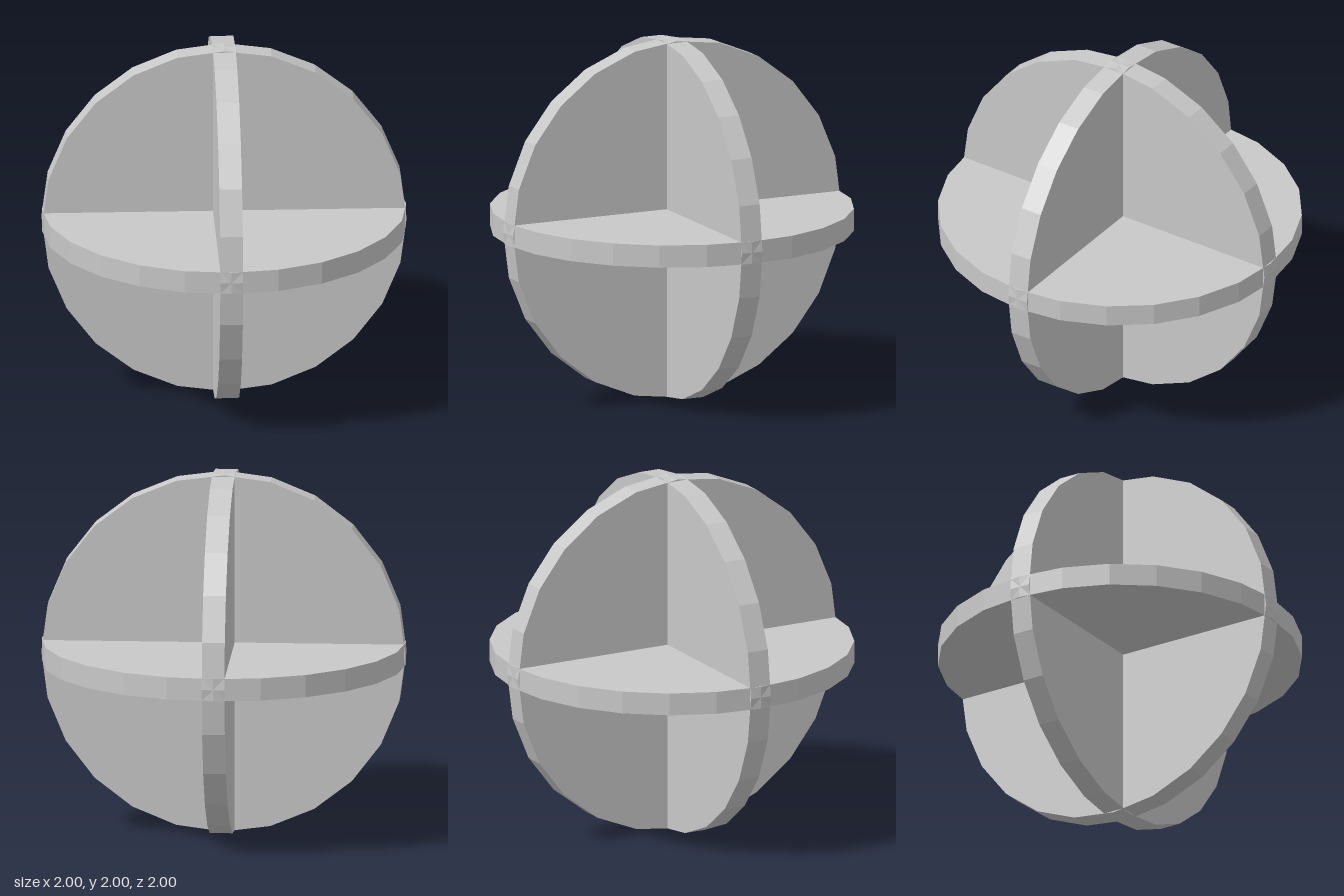
import * as THREE from 'three';

const RADIUS = 1;
const THICKNESS = 0.125;
const SIDES = 24;

export function createModel() {
  const model = new THREE.Group();
  model.name = 'crossedDiscs';

  const grey = new THREE.MeshStandardMaterial({ color: 0xc8c8c8, flatShading: true });
  grey.name = 'light grey';

  // Three equal faceted discs, one across each axis, crossing at the centre
  const disc = new THREE.CylinderGeometry(RADIUS, RADIUS, THICKNESS, SIDES);
  const discs = [
    ['horizontalDisc', 0, 0],
    ['frontFacingDisc', Math.PI / 2, 0],
    ['sideFacingDisc', 0, Math.PI / 2],
  ];
  for (const [name, rx, rz] of discs) {
    const mesh = new THREE.Mesh(disc, grey);
    mesh.name = name;
    mesh.rotation.set(rx, 0, rz);
    mesh.position.y = RADIUS;
    model.add(mesh);
  }
  return model;
}
